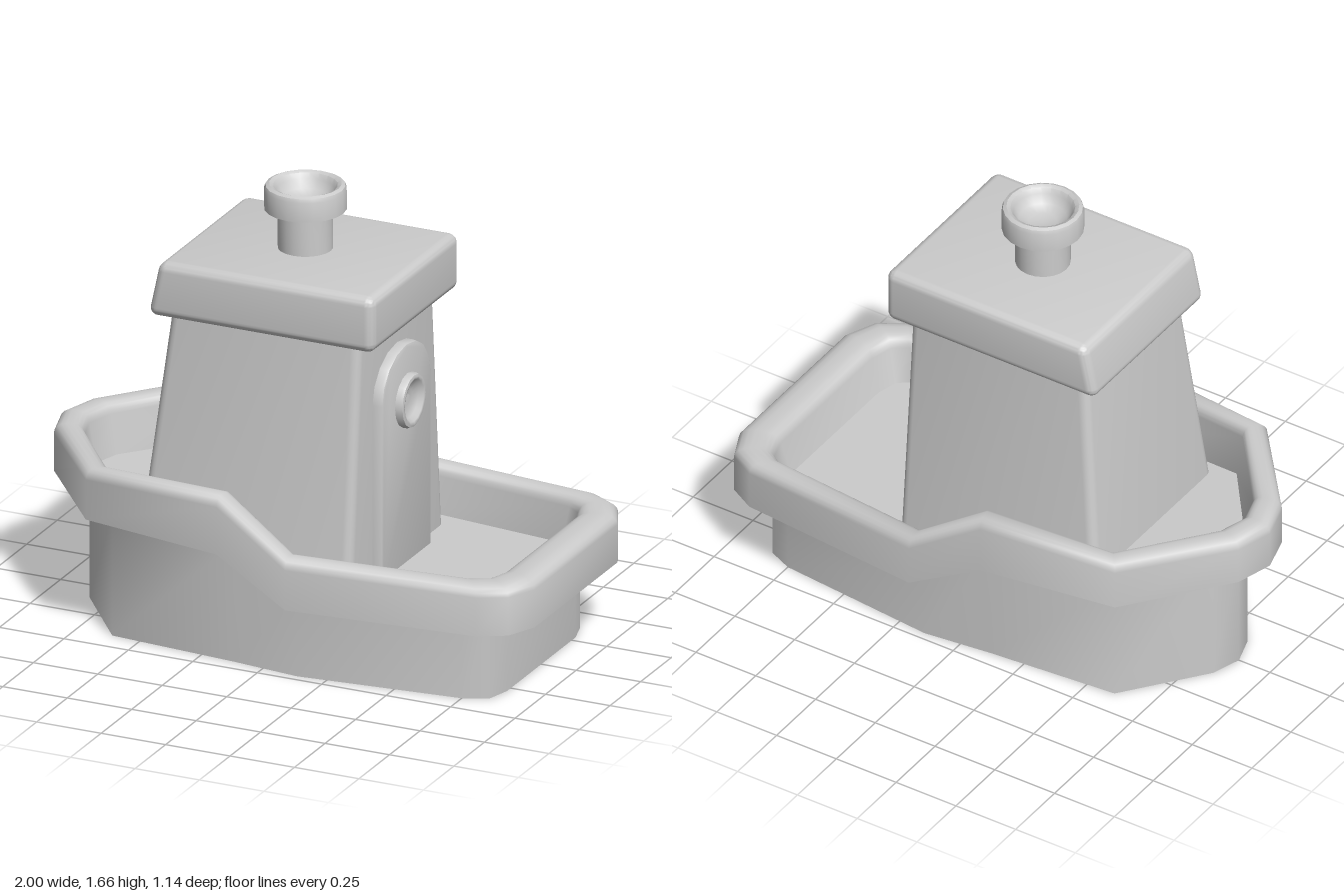
import * as THREE from 'three';
import { toCreasedNormals } from 'three/addons/utils/BufferGeometryUtils.js';
import { RoundedBoxGeometry } from 'three/addons/geometries/RoundedBoxGeometry.js';

const grey = new THREE.MeshStandardMaterial({ color: 0xcccccc });
const greyDouble = new THREE.MeshStandardMaterial({ color: 0xcccccc, side: THREE.DoubleSide });

function part(name, geometry, material = grey) {
  const mesh = new THREE.Mesh(geometry, material);
  mesh.name = name;
  return mesh;
}

function fromTriangles(positions, crease) {
  const g = new THREE.BufferGeometry();
  g.setAttribute('position', new THREE.Float32BufferAttribute(positions, 3));
  g.computeVertexNormals();
  return toCreasedNormals(g, crease);
}

const quad = (out, a, b, c, d) => out.push(...a, ...b, ...c, ...a, ...c, ...d);

// Skin a list of sections; "sections" close into a loop, points in each run upward
function loft(sections, crease) {
  const out = [];
  sections.forEach((s, i) => {
    const n = sections[(i + 1) % sections.length];
    for (let j = 0; j < s.length - 1; j++) quad(out, s[j], n[j], n[j + 1], s[j + 1]);
  });
  return fromTriangles(out, crease);
}

// Half outline from bow to stern: o = rail outside, h = hull wall, d = deck edge,
// t = rail top, b = rail bottom, k = deck height
const half = [
  { o: [-1, 0], h: [-0.87, 0], d: [-0.86, 0], t: 0.65, b: 0.47, k: 0.465 },
  { o: [-0.96, 0.14], h: [-0.835, 0.11], d: [-0.83, 0.1], t: 0.65, b: 0.47, k: 0.465 },
  { o: [-0.67, 0.49], h: [-0.61, 0.4], d: [-0.6, 0.4], t: 0.65, b: 0.46, k: 0.455 },
  { o: [-0.14, 0.54], h: [-0.12, 0.44], d: [-0.12, 0.43], t: 0.655, b: 0.437, k: 0.435 },
  { o: [0.14, 0.57], h: [0.14, 0.47], d: [0.14, 0.46], t: 0.475, b: 0.285, k: 0.3 },
  { o: [0.85, 0.505], h: [0.75, 0.41], d: [0.76, 0.39], t: 0.47, b: 0.285, k: 0.3 },
  { o: [0.95, 0.45], h: [0.84, 0.37], d: [0.8, 0.36], t: 0.468, b: 0.285, k: 0.3 },
  { o: [1, 0.34], h: [0.865, 0.28], d: [0.82, 0.28], t: 0.467, b: 0.285, k: 0.3 },
];

// Hull wall (open below) and rounded rail in one skin
function hullGeometry() {
  const section = (r, side) => {
    const at = (f, y) => [
      r.o[0] + (r.d[0] - r.o[0]) * f, y, side * (r.o[1] + (r.d[1] - r.o[1]) * f)];
    const pts = [
      [r.h[0], 0, side * r.h[1]], [r.h[0], r.b, side * r.h[1]], at(0, r.b)];
    for (let i = 0; i <= 4; i++) {
      const a = (i / 4) * Math.PI / 2;
      pts.push(at(0.33 * (1 - Math.cos(a)), r.t - 0.04 * (1 - Math.sin(a))));
    }
    for (let i = 0; i <= 4; i++) {
      const a = (i / 4) * Math.PI / 2;
      pts.push(at(0.52 + 0.28 * Math.sin(a), r.t - 0.04 * (1 - Math.cos(a))));
    }
    pts.push(at(1, r.k));
    return pts;
  };
  const rows = half.map((r) => section(r, 1));
  for (let i = half.length - 1; i > 0; i--) rows.push(section(half[i], -1));
  return loft(rows, 0.85);
}

// Deck strips, left open under the cabin
function deckGeometry() {
  const x0 = -0.5, x1 = 0.29;
  const edge = half.map((r) => [r.d[0], r.k, r.d[1]]);
  for (const x of [x0, x1]) {
    const i = edge.findIndex((p) => p[0] > x);
    const [a, b] = [edge[i - 1], edge[i]];
    const f = (x - a[0]) / (b[0] - a[0]);
    edge.splice(i, 0, a.map((v, n) => v + (b[n] - v) * f));
  }
  const out = [];
  for (let i = 0; i < edge.length - 1; i++) {
    const [a, b] = [edge[i], edge[i + 1]];
    const mid = (a[0] + b[0]) / 2;
    const zi = mid > x0 && mid < x1 ? 0.365 : 0;
    const flip = (p) => [p[0], p[1], -p[2]];
    const inA = [a[0], a[1], zi], inB = [b[0], b[1], zi];
    quad(out, a, b, inB, inA);
    quad(out, flip(inA), flip(inB), flip(b), flip(a));
  }
  return fromTriangles(out, 0.5);
}

// Cabin walls: rounded rectangle tapering upward, aft wall upright
function cabinGeometry() {
  const r = 0.035;
  const levels = [[0.27, -0.535, 0.39], [1.25, -0.427, 0.307]];
  const sections = [];
  for (let c = 0; c < 4; c++) {
    for (let i = 0; i <= 4; i++) {
      const a = Math.PI / 2 * (c + i / 4);
      const sx = c === 0 || c === 3 ? 1 : -1, sz = c < 2 ? -1 : 1;
      sections.push(levels.map(([y, back, w]) => [
        (sx > 0 ? 0.305 - r : back + r) + r * Math.cos(a), y,
        sz * (w - r) - r * Math.sin(a)]));
    }
  }
  return loft(sections, 0.6);
}

// Roof slab with a sloping forward face
function roofGeometry() {
  const g = new RoundedBoxGeometry(0.88, 0.21, 0.715, 4, 0.035);
  const p = g.attributes.position;
  for (let i = 0; i < p.count; i++) {
    if (p.getX(i) < 0) p.setX(i, p.getX(i) + (p.getY(i) + 0.105) / 0.21 * 0.045);
  }
  g.translate(-0.06, 1.315, 0);
  g.computeVertexNormals();
  return toCreasedNormals(g, 0.6);
}

// Arched door panel on the aft wall
function doorGeometry() {
  const b = 0.012, w = 0.2 - b;
  const s = new THREE.Shape();
  s.moveTo(-w, 0.29);
  s.lineTo(w, 0.29);
  for (let i = 0; i <= 8; i++) {
    const a = (i / 8) * Math.PI;
    s.lineTo(w * Math.cos(a), 0.95 + (0.17 - b) * Math.sin(a));
  }
  const g = new THREE.ExtrudeGeometry(s, {
    depth: 0.05, bevelThickness: b, bevelSize: b, bevelSegments: 2 });
  g.rotateY(Math.PI / 2);
  g.translate(0.283, 0, 0);
  return toCreasedNormals(g, 0.6);
}

function lathe(points, sides) {
  const g = new THREE.LatheGeometry(points.map((p) => new THREE.Vector2(...p)), sides);
  return toCreasedNormals(g, 0.7);
}

export function createModel() {
  const boat = new THREE.Group();
  boat.name = 'boat';
  boat.add(
    part('hullAndRail', hullGeometry(), greyDouble),
    part('deck', deckGeometry(), greyDouble),
    part('cabin', cabinGeometry(), greyDouble),
    part('roof', roofGeometry()),
    part('door', doorGeometry()));

  // Porthole: raised rim with a shallow dish
  const porthole = part('porthole', lathe(
    [[0.1, 0], [0.1, 0.042], [0.096, 0.052], [0.088, 0.055], [0.078, 0.052],
      [0.066, 0.035], [0.04, 0.026], [0, 0.024]], 16), greyDouble);
  porthole.rotation.z = -Math.PI / 2;
  porthole.position.set(0.32, 0.91, 0);
  boat.add(porthole);

  // Funnel pipe and its dished cap
  const funnel = new THREE.Group();
  funnel.name = 'funnel';
  funnel.position.set(-0.05, 1.4, 0);
  funnel.add(
    part('funnelPipe', lathe([[0.098, 0], [0.098, 0.18]], 20), greyDouble),
    part('funnelCap', lathe(
      [[0, 0.168], [0.146, 0.168], [0.146, 0.24], [0.141, 0.254], [0.128, 0.26],
        [0.114, 0.254], [0.104, 0.235], [0.085, 0.205], [0.05, 0.19], [0, 0.186]], 20), greyDouble));
  boat.add(funnel);
  return boat;
}
